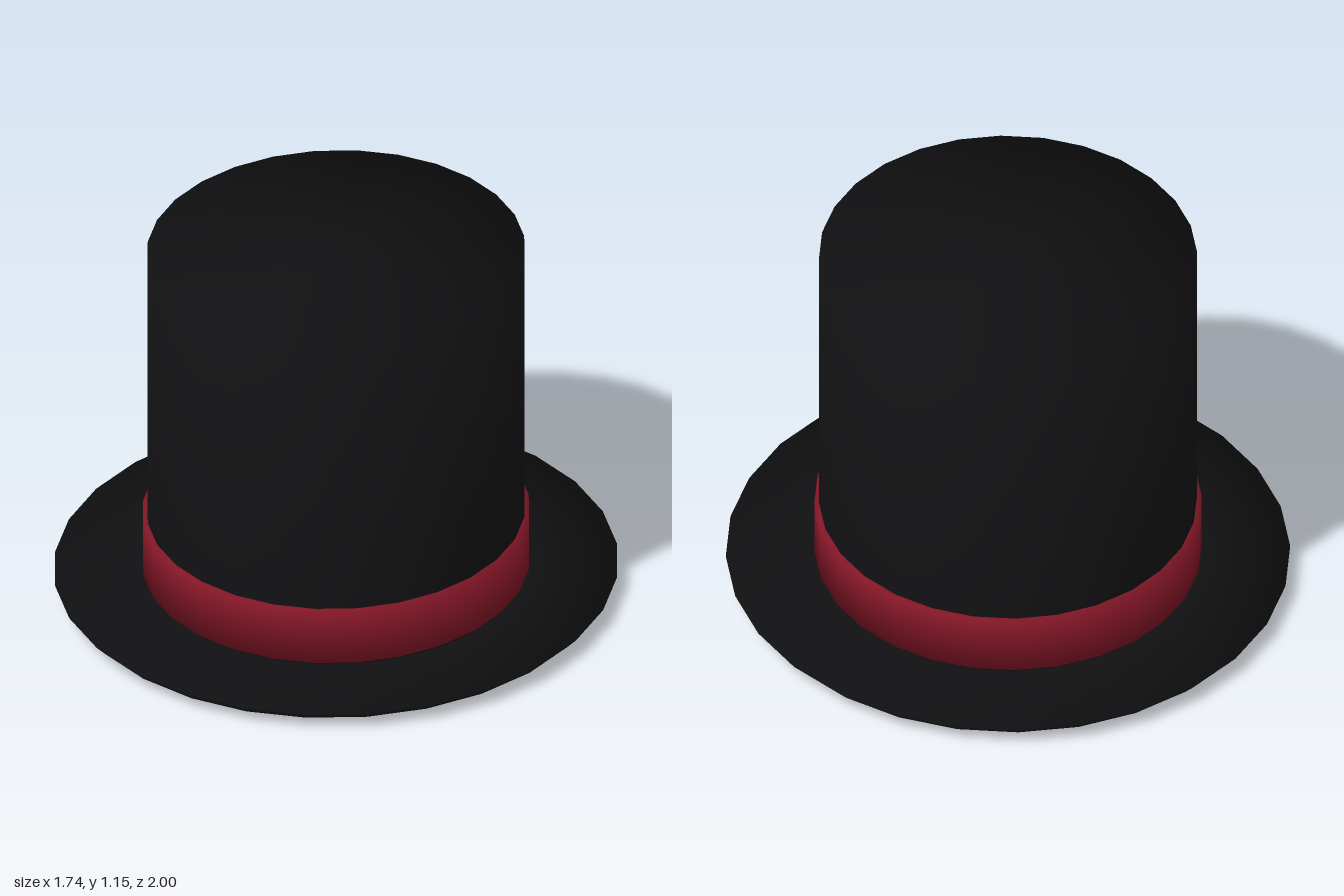
import * as THREE from 'three';
import { toCreasedNormals } from 'three/addons/utils/BufferGeometryUtils.js';

const SIDES = 28;
const OVAL = 0.87; // width of the hat relative to its depth

const felt = new THREE.MeshStandardMaterial({ color: 0x111113 });
const ribbon = new THREE.MeshStandardMaterial({ color: 0x821626 });

// Turn a [radius, height] profile (listed from the bottom up) into a soft-shaded oval part
function ovalPart(name, profile, material) {
  const points = profile.map(([r, y]) => new THREE.Vector2(r, y));
  const geometry = new THREE.LatheGeometry(points, SIDES).scale(OVAL, 1, 1);
  const mesh = new THREE.Mesh(toCreasedNormals(geometry, Math.PI), material);
  mesh.name = name;
  return mesh;
}

export function createModel() {
  const hat = new THREE.Group();
  hat.name = 'topHat';

  // Brim: shallow recess under the crown, then a gentle rise to a bevelled rim
  hat.add(ovalPart('brim', [
    [0, 0.065], [0.655, 0.065], [0.66, 0], [0.965, 0.025], [1, 0.056], [0.66, 0.056],
  ], felt));

  // Crown: straight sides and a flat top
  hat.add(ovalPart('crown', [
    [0.67, 0.05], [0.67, 1.148], [0, 1.148],
  ], felt));

  // Ribbon band standing just proud of the crown
  hat.add(ovalPart('hatBand', [
    [0.665, 0.07], [0.686, 0.07], [0.686, 0.25], [0.665, 0.25],
  ], ribbon));

  return hat;
}
